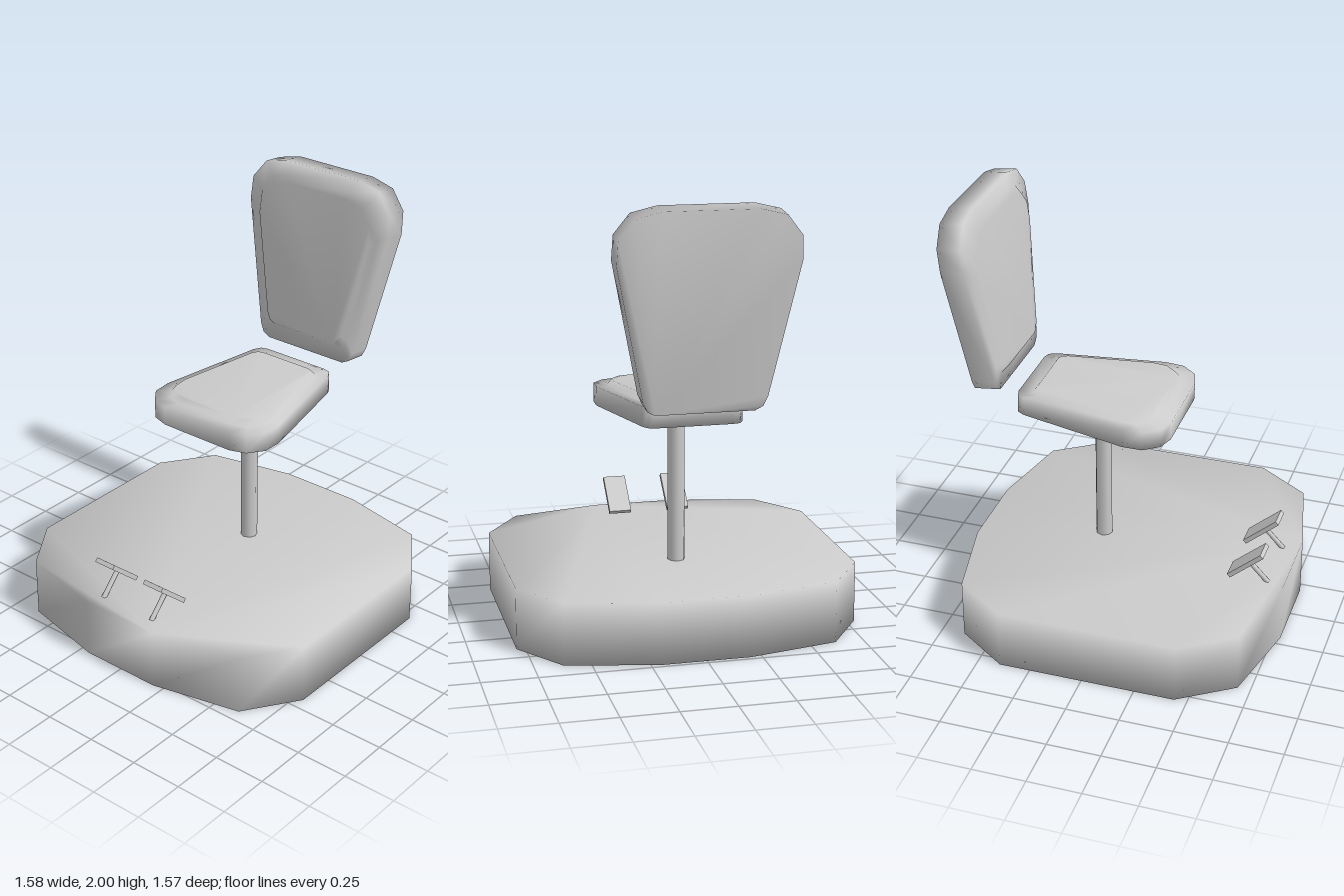
import * as THREE from 'three';

const material = new THREE.MeshStandardMaterial({ color: 0xcccccc });

function addMesh(parent, name, geometry, x = 0, y = 0, z = 0, tilt = 0) {
  const mesh = new THREE.Mesh(geometry, material);
  mesh.name = name;
  mesh.position.set(x, y, z);
  mesh.rotation.x = tilt;
  parent.add(mesh);
  return mesh;
}

// Stacks scaled copies of a mirrored outline and caps both ends, with shared smooth normals.
// half: [x, z] points of the +x side, front to back; layers: [y, scale].
function loft(half, layers) {
  const ring = [...half, ...half.map(([x, z]) => [-x, z]).reverse()];
  const n = ring.length;
  const midZ = (half[0][1] + half[half.length - 1][1]) / 2;
  const positions = [];
  const index = [];
  layers.forEach(([y, scale]) => {
    ring.forEach(([x, z]) => positions.push(x * scale, y, midZ + (z - midZ) * scale));
  });
  for (let l = 0; l < layers.length - 1; l++) {
    for (let i = 0; i < n; i++) {
      const a = l * n + i;
      const b = l * n + (i + 1) % n;
      index.push(a, b, b + n, a, b + n, a + n);
    }
  }
  const top = (layers.length - 1) * n;
  for (let i = 1; i < n - 1; i++) {
    index.push(0, i + 1, i, top, top + i, top + i + 1);
  }
  const geometry = new THREE.BufferGeometry();
  geometry.setAttribute('position', new THREE.Float32BufferAttribute(positions, 3));
  geometry.setIndex(index);
  geometry.computeVertexNormals();
  return geometry;
}

export function createModel() {
  const model = new THREE.Group();
  model.name = 'pedalChair';

  // Chamfered floor platform
  const baseOutline = [
    [0.2, 0.785], [0.62, 0.69], [0.79, 0.44],
    [0.79, -0.395], [0.62, -0.64], [0.2, -0.73],
  ];
  addMesh(model, 'base', loft(baseOutline, [[0, 1], [0.285, 1]]));

  // Seat post
  addMesh(model, 'post', new THREE.CylinderGeometry(0.04, 0.04, 0.74, 8), 0, 0.645, -0.15);

  // Seat, wide at the front, with a raised pad
  const seatOutline = [
    [0.19, 0.37], [0.27, 0.345], [0.325, 0.275], [0.33, 0.185],
    [0.225, -0.325], [0.205, -0.36], [0.17, -0.37],
  ];
  const seat = loft(seatOutline, [[0, 1], [0.09, 1], [0.092, 0.825], [0.118, 0.775]]);
  addMesh(model, 'seat', seat, 0, 0.992, -0.135, 0.034);

  // Backrest, wide at the top, leaning back, with a raised pad
  const backOutline = [
    [0.22, 0], [0.255, -0.018], [0.275, -0.06], [0.4, -0.66],
    [0.395, -0.77], [0.325, -0.86], [0.21, -0.888],
  ];
  const back = loft(backOutline, [[0, 1], [0.11, 1], [0.112, 0.85], [0.143, 0.79]]);
  addMesh(model, 'backrest', back, 0, 1.105, -0.68, Math.PI / 2 - 0.118);

  // Pair of foot pedals: slanted plate on a thin stem
  for (const [name, x] of [['rightPedal', -0.172], ['leftPedal', 0.12]]) {
    const pedal = new THREE.Group();
    pedal.name = name;
    pedal.position.x = x;
    addMesh(pedal, 'plate', new THREE.BoxGeometry(0.108, 0.022, 0.205), 0, 0.385, 0.608, -0.72);
    const stem = new THREE.CylinderGeometry(0.012, 0.012, 0.135, 8);
    addMesh(pedal, 'stem', stem, 0.006, 0.329, 0.66, -0.76);
    model.add(pedal);
  }

  return model;
}
